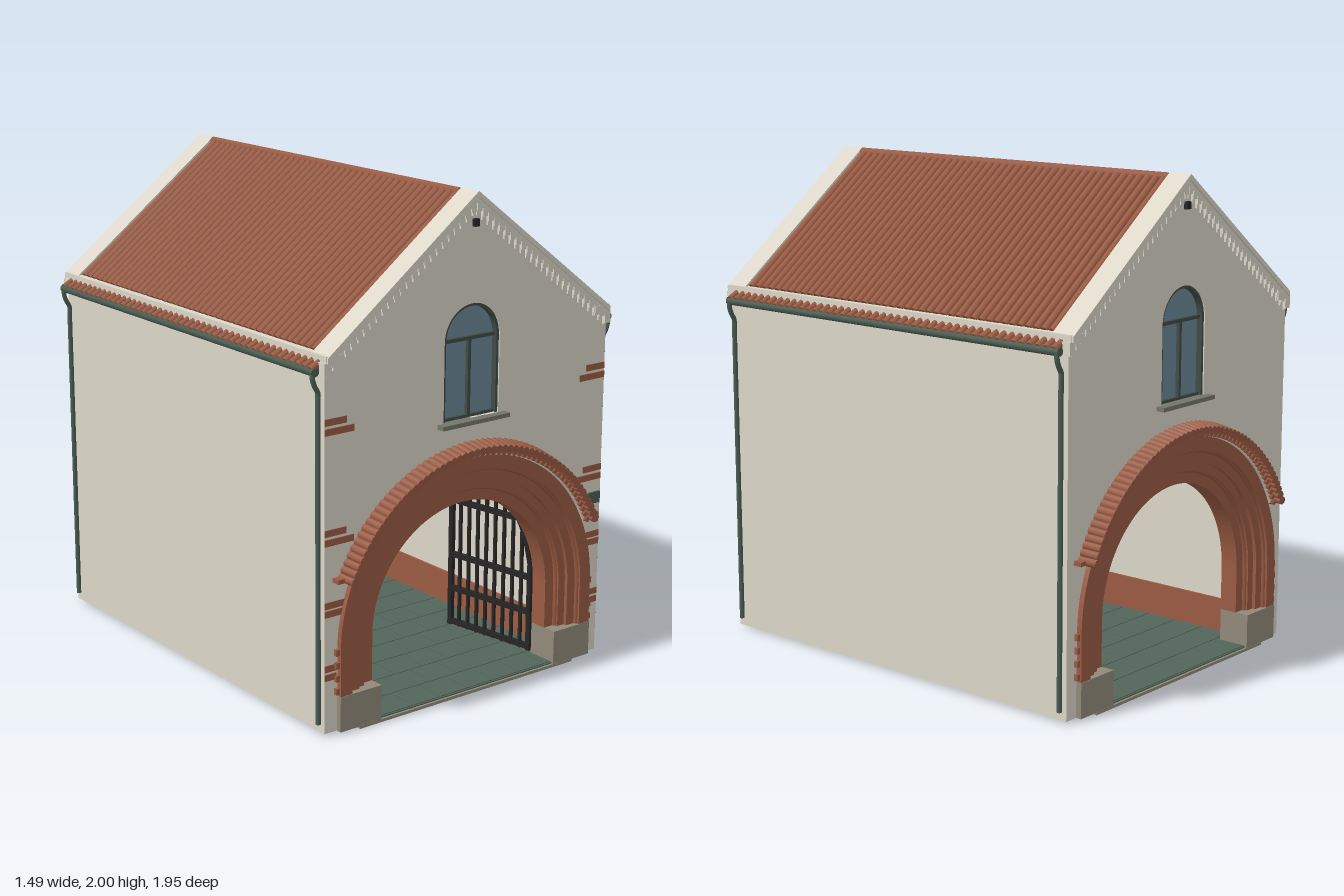
import * as THREE from 'three';
import { mergeGeometries } from 'three/addons/utils/BufferGeometryUtils.js';

const mat = (name, color, side = THREE.FrontSide) => {
  const m = new THREE.MeshStandardMaterial({ color, side });
  m.name = name;
  return m;
};

export function createModel() {
  const plaster = mat('plaster', 0xdbd6c8);
  const brick = mat('brick', 0x9a5b43);
  const stone = mat('stone', 0x918a7a);
  const sillMat = mat('window sill', 0x74766a);
  const glass = mat('glass', 0x6a8797, THREE.DoubleSide);
  const frameMat = mat('window frame', 0x414b44);
  const metal = mat('green metal', 0x4a5d52);
  const iron = mat('iron', 0x252525);
  const paving = mat('paving', 0x53665b);

  const model = new THREE.Group();
  model.name = 'gatehouse';

  // ---------- helpers ----------
  const mesh = (parent, name, geo, material) => {
    const m = new THREE.Mesh(geo, material);
    m.name = name;
    parent.add(m);
    return m;
  };
  const boxGeo = (x0, x1, y0, y1, z0, z1) =>
    new THREE.BoxGeometry(Math.abs(x1 - x0), y1 - y0, z1 - z0)
      .translate((x0 + x1) / 2, (y0 + y1) / 2, (z0 + z1) / 2);
  const box = (parent, name, m, ...b) => mesh(parent, name, boxGeo(...b), m);
  const V = (x, y, z) => new THREE.Vector3(x, y, z);
  const rod = (a, b, r, sides = 8) => {
    const d = b.clone().sub(a);
    const g = new THREE.CylinderGeometry(r, r, d.length(), sides);
    g.applyQuaternion(new THREE.Quaternion().setFromUnitVectors(V(0, 1, 0), d.normalize()));
    return g.translate((a.x + b.x) / 2, (a.y + b.y) / 2, (a.z + b.z) / 2);
  };
  const extrude = (shape, z0, z1) =>
    new THREE.ExtrudeGeometry(shape, { depth: z1 - z0, bevelEnabled: false, curveSegments: 32 }).translate(0, 0, z0);
  const poly = (pts) => new THREE.Shape(pts.map(([x, y]) => new THREE.Vector2(x, y)));
  // round-headed band between radius r and R, with legs down to y0
  const archBand = (r, R, c, y0) => {
    const s = new THREE.Shape();
    s.moveTo(-R, y0).lineTo(-R, c).absarc(0, c, R, Math.PI, 0, true).lineTo(R, y0);
    s.lineTo(r, y0).lineTo(r, c).absarc(0, c, r, 0, Math.PI, false).lineTo(-r, y0);
    return s;
  };
  const archFill = (P, r, c, y0) => {
    const s = new P();
    s.moveTo(-r, y0).lineTo(r, y0).lineTo(r, c).absarc(0, c, r, 0, Math.PI, false).lineTo(-r, y0);
    return s;
  };
  const C = 0.335; // centre height of the gate arch
  const slope = (x) => 2 - 0.757 * Math.abs(x); // top line of the gable

  // ---------- gable end, facing +z ----------
  function gableEnd() {
    const g = new THREE.Group();
    const wall = new THREE.Shape();
    wall.moveTo(0.7, 0.01).lineTo(0.7, slope(0.7) - 0.01).lineTo(0, 1.99).lineTo(-0.7, slope(0.7) - 0.01);
    wall.lineTo(-0.7, 0.01).lineTo(-0.6, 0.01).lineTo(-0.6, C);
    wall.absarc(0, C, 0.6, Math.PI, 0, true).lineTo(0.6, 0.01);
    wall.holes.push(archFill(THREE.Path, 0.137, 1.435, 1.125));
    mesh(g, 'gableWall', extrude(wall, 0.82, 0.9), plaster);

    // stepped coping and hanging corbels under the gable slope
    const strip = (a, b) => poly([[-0.7, slope(0.7) - b], [0, 2 - b], [0.7, slope(0.7) - b],
      [0.7, slope(0.7) - a], [0, 2 - a], [-0.7, slope(0.7) - a]]);
    mesh(g, 'coping', extrude(strip(0, 0.022), 0.82, 0.922), plaster);
    mesh(g, 'copingFillet', extrude(strip(0.022, 0.045), 0.89, 0.913), plaster);
    const corbels = [];
    for (const s of [-1, 1]) for (let i = 0; i < 25; i++) {
      const x = s * (0.014 + i * 0.0282), y = slope(x);
      corbels.push(boxGeo(x - 0.012, x + 0.012, y - 0.068, y - 0.03, 0.89, 0.913));
      corbels.push(boxGeo(x - s * 0.012, x + s * 0.003, y - 0.083, y - 0.068, 0.89, 0.908));
    }
    for (const s of [-1, 1]) corbels.push(boxGeo(s * 0.68, s * 0.71, 1.4, 1.45, 0.87, 0.915));
    mesh(g, 'corbels', mergeGeometries(corbels), plaster);
    box(g, 'gableVent', iron, -0.012, 0.012, 1.866, 1.895, 0.895, 0.916);

    // window
    mesh(g, 'windowGlass', new THREE.ShapeGeometry(archFill(THREE.Shape, 0.132, 1.435, 1.125), 24).translate(0, 0, 0.87), glass);
    mesh(g, 'windowFrame', extrude(archBand(0.126, 0.138, 1.435, 1.125), 0.86, 0.895), frameMat);
    box(g, 'mullion', frameMat, -0.007, 0.007, 1.125, 1.435, 0.865, 0.885);
    box(g, 'transom', frameMat, -0.127, 0.127, 1.428, 1.442, 0.865, 0.885);
    box(g, 'bottomRail', frameMat, -0.127, 0.127, 1.125, 1.136, 0.865, 0.885);
    box(g, 'windowSill', sillMat, -0.167, 0.167, 1.108, 1.125, 0.86, 0.935);

    // stepped brick arch rings with round mouldings
    const rings = [[0.446, 0.5, 0.79, 0.865], [0.5, 0.535, 0.8, 0.885], [0.535, 0.585, 0.8, 0.9], [0.585, 0.64, 0.81, 0.922]];
    for (const [r, R, z0, z1] of rings) mesh(g, 'archRing', extrude(archBand(r, R, C, 0.15), z0, z1), brick);
    for (const [r, z] of [[0.5, 0.867], [0.585, 0.902]]) {
      mesh(g, 'archRoll', new THREE.TorusGeometry(r, 0.011, 6, 40, Math.PI).translate(0, C, z), brick);
      for (const s of [-1, 1]) mesh(g, 'jambRoll', rod(V(s * r, 0.15, z), V(s * r, C, z), 0.011, 6), brick);
    }
    for (const s of [-1, 1]) {
      box(g, 'archPlinth', stone, s * 0.446, s * 0.642, 0.01, 0.152, 0.79, 0.924);
      for (let i = 0; i < 4; i++)
        box(g, 'toothBrick', brick, s * 0.63, s * 0.655, 0.16 + i * 0.052, 0.185 + i * 0.052, 0.89, 0.915);
    }

    // tiled hood following the arch, over brick teeth on a plaster bed
    const a0 = 0.43, a1 = Math.PI - a0, hood = new THREE.Shape();
    hood.absarc(0, C, 0.672, a0, a1, false).absarc(0, C, 0.641, a1, a0, true);
    mesh(g, 'hoodBed', extrude(hood, 0.88, 0.93), plaster);
    const tiles = [], n = 54;
    for (let i = 0; i <= n; i++) {
      const a = a0 + (a1 - a0) * i / n, c = Math.cos(a), s = Math.sin(a);
      const at = (r, z) => V(r * c, C + r * s, z);
      tiles.push(rod(at(0.686, 0.89), at(0.672, 0.97), 0.0175));
      tiles.push(rod(at(0.656, 0.89), at(0.654, 0.945), 0.0125, 4));
    }
    for (const s of [-1, 1]) tiles.push(boxGeo(s * 0.6, s * 0.662, 0.608, 0.625, 0.88, 0.935));
    mesh(g, 'hoodTiles', mergeGeometries(tiles), brick);
    return g;
  }
  const front = gableEnd(), back = gableEnd();
  front.name = 'frontEnd';
  back.name = 'backEnd';
  back.rotation.y = Math.PI;
  model.add(front, back);

  // brick courses at the front corners, and a blank plate
  const courses = [[1.225, 0.1], [1.188, 0.135], [0.802, 0.1], [0.765, 0.135], [0.52, 0.1], [0.487, 0.09], [0.27, 0.06], [0.235, 0.055]];
  for (const s of [-1, 1]) for (const [y, w] of courses)
    box(front, 'brickCourse', brick, s * (0.7 - w), s * 0.699, y - 0.013, y + 0.013, 0.896, 0.903);
  box(front, 'wallPlate', metal, 0.635, 0.695, 0.652, 0.7, 0.898, 0.907);

  // open gate leaves, each shaped to half of the arch
  function gateLeaf(name) {
    const g = new THREE.Group();
    g.name = name;
    const top = (s) => C + Math.sqrt(Math.max(0, 0.19 - (0.44 - s) ** 2));
    const parts = [];
    for (let i = 0; i <= 9; i++) {
      const s = 0.008 + i * 0.047, w = i % 9 ? 0.006 : 0.01;
      parts.push(boxGeo(s - w, s + w, 0.025, top(s), -w, w));
    }
    for (const y of [0.04, 0.19, 0.34, 0.58]) parts.push(boxGeo(y > 0.5 ? 0.09 : 0, 0.435, y - 0.011, y + 0.011, -0.009, 0.009));
    mesh(g, 'gateBars', mergeGeometries(parts), iron);
    const pts = [];
    for (let i = 0; i <= 10; i++) pts.push(V(0.006 + i * 0.0425, top(0.006 + i * 0.0425), 0));
    mesh(g, 'gateTopRail', new THREE.TubeGeometry(new THREE.CatmullRomCurve3(pts), 24, 0.01, 6), iron);
    model.add(g);
    return g;
  }
  const rightLeaf = gateLeaf('rightGateLeaf'), leftLeaf = gateLeaf('leftGateLeaf');
  rightLeaf.position.set(-0.45, 0, 0.78);
  rightLeaf.rotation.y = 1.42;
  leftLeaf.position.set(0.45, 0, 0.78);
  leftLeaf.rotation.y = Math.PI - 1.42;

  // ---------- sides, roof and eaves ----------
  for (const s of [-1, 1]) {
    box(model, 'outerWall', plaster, s * 0.625, s * 0.7, 0.01, 1.44, -0.82, 0.82);
    box(model, 'innerWall', plaster, s * 0.55, s * 0.575, 0.01, 0.9, -0.82, 0.82);
    box(model, 'brickDado', brick, s * 0.54, s * 0.55, 0.015, 0.16, -0.8, 0.8);
    box(model, 'wallHead', plaster, s * 0.625, s * 0.702, 1.44, 1.475, -0.915, 0.915);

    const deck = poly([[0, 1.975], [s * 0.67, 1.468], [s * 0.67, 1.44], [0, 1.945]]);
    mesh(model, 'roofDeck', extrude(deck, -0.82, 0.82), brick);
    const rows = [], eave = [];
    for (let i = 0; i < 43; i++) {
      const z = -0.802 + i * 0.0382;
      rows.push(rod(V(0, 1.979, z), V(s * 0.672, 1.472, z), 0.0165));
    }
    mesh(model, 'roofTiles', mergeGeometries(rows), brick);
    for (let i = 0; i < 46; i++) {
      const z = -0.866 + i * 0.0385;
      eave.push(rod(V(s * 0.69, 1.449, z), V(s * 0.738, 1.424, z), 0.0135));
    }
    mesh(model, 'eaveTiles', mergeGeometries(eave), brick);
    mesh(model, 'eaveBed', extrude(poly([[s * 0.69, 1.449], [s * 0.74, 1.426], [s * 0.74, 1.418], [s * 0.69, 1.418]]), -0.88, 0.88), brick);

    // gutter and down pipes
    mesh(model, 'gutter', rod(V(s * 0.729, 1.415, -0.885), V(s * 0.729, 1.415, 0.885), 0.017, 10), metal);
    for (const z of [-0.875, 0.875]) {
      const bend = new THREE.CatmullRomCurve3([V(s * 0.733, 1.42, z), V(s * 0.735, 1.39, z), V(s * 0.725, 1.36, z), V(s * 0.711, 1.335, z), V(s * 0.711, 1.3, z)]);
      mesh(model, 'pipeBend', new THREE.TubeGeometry(bend, 14, 0.01, 8), metal);
      mesh(model, 'downPipe', rod(V(s * 0.711, 0.045, z), V(s * 0.711, 1.305, z), 0.01), metal);
    }
  }
  mesh(model, 'ridgeTile', rod(V(0, 1.982, -0.82), V(0, 1.982, 0.82), 0.017, 10), brick);

  // ---------- passage ceiling and floor ----------
  box(model, 'ceiling', plaster, -0.57, 0.57, 0.89, 0.91, -0.82, 0.82);
  for (const x of [-0.37, 0.37]) for (const z of [-0.38, 0.38])
    mesh(model, 'ceilingLamp', new THREE.CylinderGeometry(0.014, 0.014, 0.01, 12).translate(x, 0.886, z), iron);
  box(model, 'floorSlab', stone, -0.55, 0.55, 0, 0.012, -0.925, 0.925);
  box(model, 'pavingBed', paving, -0.54, 0.54, 0.012, 0.017, -0.915, 0.915);
  const slabs = [], pitch = 0.1375;
  for (let r = 0; r < 13; r++) for (let c = -1; c < 8; c++) {
    const x = -0.55 + (c + (r % 2) / 2) * pitch, z = -0.91 + r * 0.14;
    const lim = Math.abs(z + 0.07) > 0.77 ? 0.445 : 0.538;
    const x0 = Math.max(-lim, x + 0.002), x1 = Math.min(lim, x + pitch - 0.002);
    if (x1 - x0 > 0.01) slabs.push(boxGeo(x0, x1, 0.012, 0.02, z + 0.002, z + 0.138));
  }
  mesh(model, 'pavingSlabs', mergeGeometries(slabs), paving);
  return model;
}
